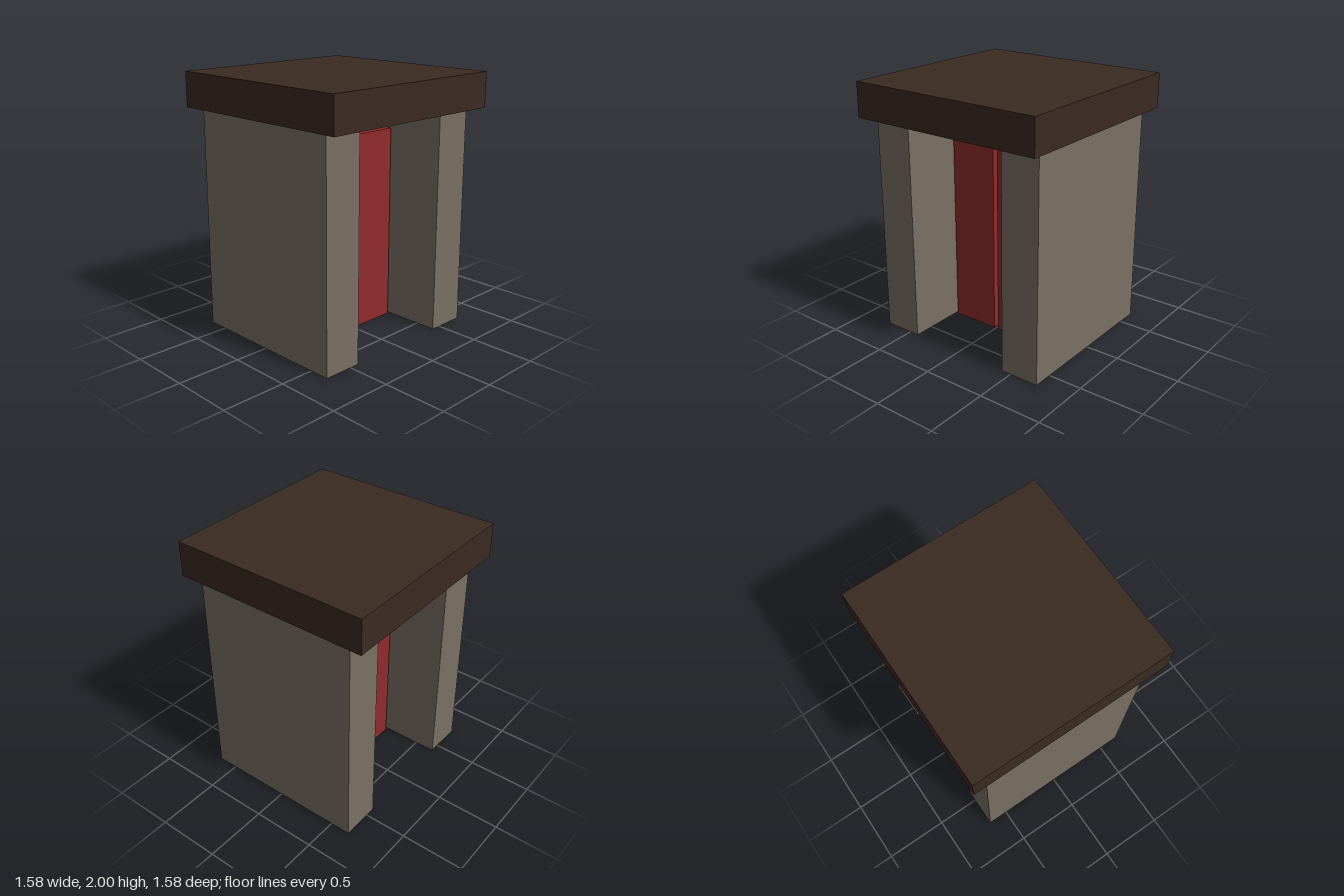
import * as THREE from 'three';

const material = (name, color) => {
  const m = new THREE.MeshStandardMaterial({ color });
  m.name = name;
  return m;
};

export function createModel() {
  const model = new THREE.Group();
  model.name = 'gateway';
  const darkWood = material('dark wood', 0x3b2b21);
  const stone = material('stone', 0x7a7063);
  const redPaint = material('red paint', 0x922b2c);

  // Box standing on height y, centred on z = 0
  const addBox = (name, mat, w, h, d, x, y) => {
    const mesh = new THREE.Mesh(new THREE.BoxGeometry(w, h, d), mat);
    mesh.name = name;
    mesh.position.set(x, y + h / 2, 0);
    model.add(mesh);
  };

  // Overhanging slab roof
  addBox('roof', darkWood, 1.58, 0.27, 1.58, 0, 1.73);

  // Mirrored side walls and door leaves
  for (const [side, s] of [['left', 1], ['right', -1]]) {
    addBox(side + 'Wall', stone, 0.31, 1.73, 1.32, s * 0.578, 0);
    addBox(side + 'Door', redPaint, 0.386, 1.547, 0.396, s * 0.211, 0);
  }
  return model;
}
